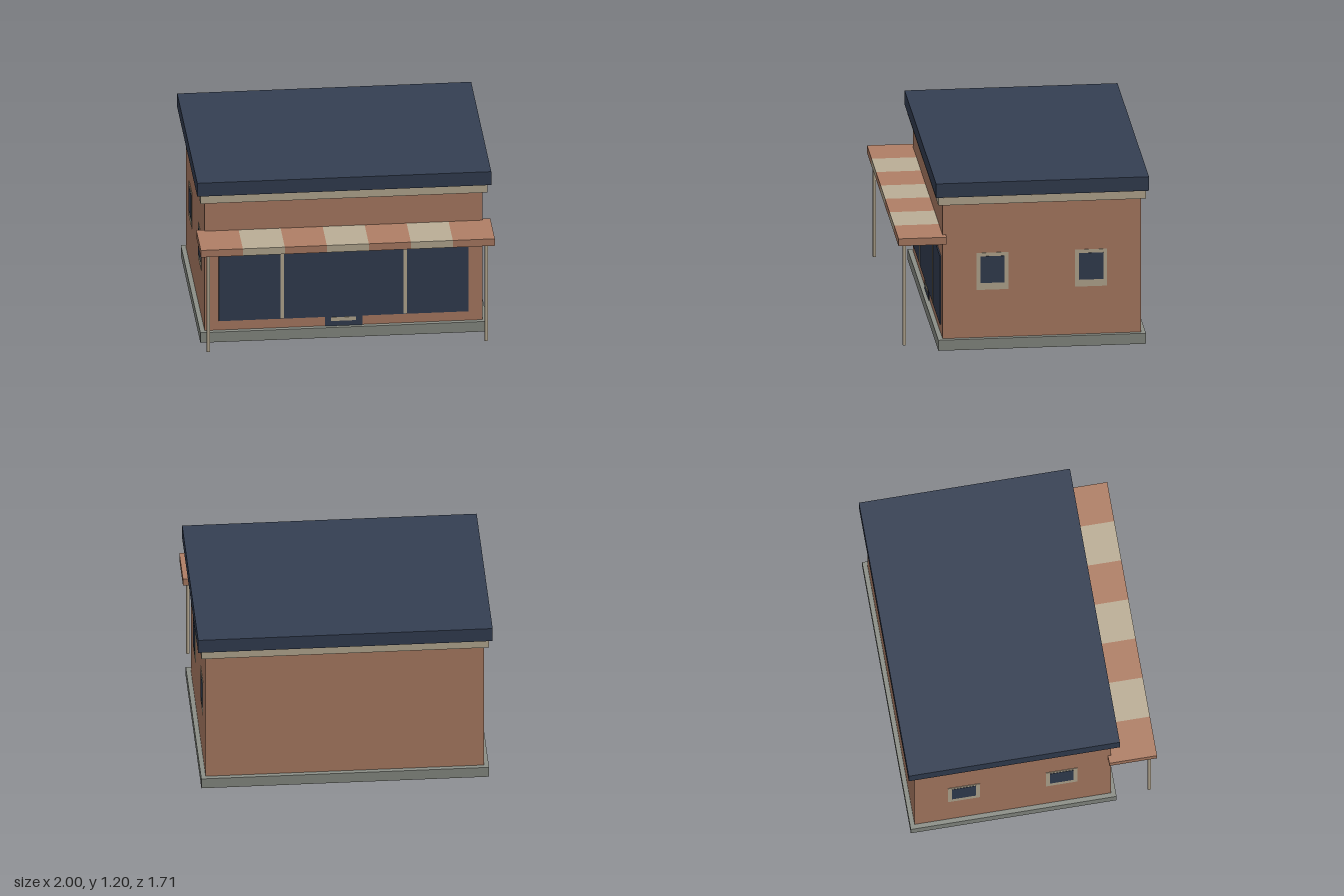
import * as THREE from 'three';

const mat = (name, color) => {
  const m = new THREE.MeshStandardMaterial({ color });
  m.name = name;
  return m;
};

export function createModel() {
  const model = new THREE.Group();
  model.name = 'shop';
  const brick = mat('brick', 0xb07f66);
  const cream = mat('cream', 0xbbae96);
  const navy = mat('navy', 0x343f53);
  const stone = mat('stone', 0x8b8f87);

  // Box given by its lower and upper corners
  const box = (name, material, [x0, y0, z0], [x1, y1, z1], parent = model) => {
    const mesh = new THREE.Mesh(new THREE.BoxGeometry(x1 - x0, y1 - y0, z1 - z0), material);
    mesh.position.set((x0 + x1) / 2, (y0 + y1) / 2, (z0 + z1) / 2);
    mesh.name = name;
    parent.add(mesh);
    return mesh;
  };

  // Stacked body: each layer is centred on the same axis
  const zc = -0.128;
  const layer = (name, material, hx, hz, y0, y1) =>
    box(name, material, [-hx, y0, zc - hz], [hx, y1, zc + hz]);
  layer('base', stone, 0.977, 0.707, 0, 0.075);
  layer('walls', brick, 0.945, 0.675, 0.075, 1.037);
  layer('cornice', cream, 0.977, 0.707, 1.037, 1.092);
  layer('roof', navy, 1, 0.725, 1.1, 1.2);

  // Small framed window, facing +z before rotation
  const addWindow = (name, x, z, turn) => {
    const w = new THREE.Group();
    w.name = name;
    box('frame', cream, [-0.109, -0.132, 0], [0.109, 0.132, 0.003], w);
    box('pane', navy, [-0.082, -0.083, 0.001], [0.082, 0.107, 0.005], w);
    w.position.set(x, 0.547, z);
    w.rotation.y = turn;
    model.add(w);
  };
  const front = zc + 0.675;
  for (const side of [-1, 1])
    for (const z of [0.207, -0.465])
      addWindow('sideWindow', side * 0.945, z, side * Math.PI / 2);
  for (const x of [-0.556, 0, 0.556]) addWindow('frontWindow', x, front, 0);

  // Shopfront glass with mullions
  box('shopfrontGlass', navy, [-0.85, 0.145, front], [0.85, 0.635, front + 0.009]);
  for (const x of [-0.418, 0.418])
    box('mullion', cream, [x - 0.011, 0.15, front + 0.006], [x + 0.011, 0.635, front + 0.013]);

  // Door foot with its pale plate
  box('door', navy, [-0.127, 0.075, front], [0.127, 0.16, front + 0.007]);
  box('doorPlate', cream, [-0.085, 0.113, front + 0.004], [0.085, 0.14, front + 0.01]);

  // Striped awning
  const awning = new THREE.Group();
  awning.name = 'awning';
  model.add(awning);
  const step = 2 / 7;
  for (let i = 0; i < 7; i++)
    box('awningStripe', i % 2 ? cream : brick,
      [-1 + i * step, 0.765, 0.525], [-1 + (i + 1) * step, 0.817, 0.853], awning);

  // Awning posts
  for (const x of [-0.945, 0.945]) {
    const post = new THREE.Mesh(new THREE.CylinderGeometry(0.012, 0.012, 0.725, 10), cream);
    post.position.set(x, 0.4025, 0.808);
    post.name = 'awningPost';
    model.add(post);
  }
  return model;
}
